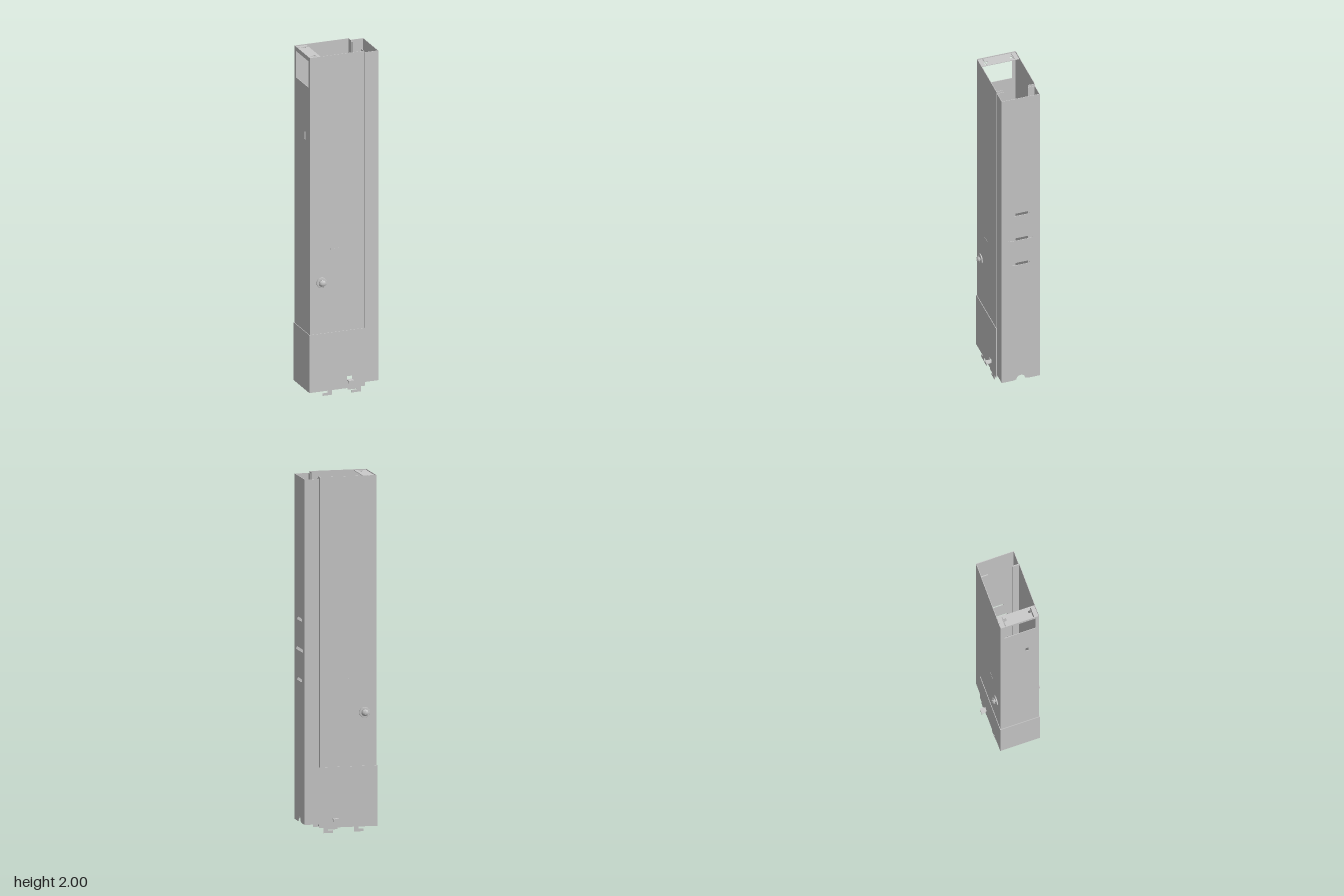
import * as THREE from 'three';

const mat = new THREE.MeshStandardMaterial({ color: 0xcccccc, side: THREE.DoubleSide });
const T = 0.003; // sheet thickness

function add(parent, name, geometry) {
  const m = new THREE.Mesh(geometry, mat);
  m.name = name;
  parent.add(m);
  return m;
}

function rectPath(Kind, a0, a1, b0, b1) {
  const p = new Kind();
  p.moveTo(a0, b0); p.lineTo(a1, b0); p.lineTo(a1, b1); p.lineTo(a0, b1); p.closePath();
  return p;
}
const rect = (...r) => rectPath(THREE.Shape, ...r);
const hole = (...r) => rectPath(THREE.Path, ...r);

// Rounded-end slot, long in the first axis
function slot(c, d, len, h) {
  const p = new THREE.Path(), r = h / 2, k = len / 2 - r;
  p.absarc(c + k, d, r, -Math.PI / 2, Math.PI / 2, false);
  p.absarc(c - k, d, r, Math.PI / 2, Math.PI * 1.5, false);
  p.closePath();
  return p;
}

const extrude = (shape, depth = T) =>
  new THREE.ExtrudeGeometry(shape, { depth, bevelEnabled: false, curveSegments: 10 });

// Sheet facing z, drawn in x/y, starting at z
const sheetZ = (shape, z) => extrude(shape).translate(0, 0, z);
// Sheet facing x, drawn in z/y, starting at x
const sheetX = (shape, x) => extrude(shape).rotateY(-Math.PI / 2).translate(x + T, 0, 0);

function box(x0, x1, y0, y1, z0, z1) {
  return new THREE.BoxGeometry(x1 - x0, y1 - y0, z1 - z0)
    .translate((x0 + x1) / 2, (y0 + y1) / 2, (z0 + z1) / 2);
}

// Screw along +z with washer, slotted dome head and threaded shank
function makeScrew() {
  const g = new THREE.Group();
  g.name = 'screw';
  const washer = [[0.008, 0], [0.029, 0], [0.03, 0.002], [0.03, 0.007], [0.028, 0.009], [0.008, 0.009]];
  const lathe = (pts) => new THREE.LatheGeometry(pts.map(p => new THREE.Vector2(...p)), 28).rotateX(Math.PI / 2);
  add(g, 'washer', lathe(washer)).position.z = 0.112;
  add(g, 'neck', new THREE.CylinderGeometry(0.01, 0.01, 0.008, 20).rotateX(Math.PI / 2)).position.z = 0.123;
  // Head made of four quarters with a cross recess between them
  const prof = [[0.003, 0], [0.02, 0], [0.0185, 0.005], [0.014, 0.01], [0.008, 0.0125], [0.003, 0.013]];
  for (let i = 0; i < 4; i++) {
    const q = new THREE.LatheGeometry(prof.map(p => new THREE.Vector2(...p)), 8, i * Math.PI / 2 + 0.12, Math.PI / 2 - 0.24);
    add(g, 'headQuarter', q.rotateX(Math.PI / 2)).position.z = 0.127;
  }
  add(g, 'headCore', new THREE.CylinderGeometry(0.012, 0.019, 0.005, 24).rotateX(Math.PI / 2)).position.z = 0.1295;
  const thread = [];
  for (let i = 0; i <= 24; i++) thread.push([i % 2 ? 0.01 : 0.0075, 0.06 + i * 0.0022]);
  add(g, 'thread', lathe([[0, 0.06], ...thread]));
  g.position.set(-0.136, 0.67, 0);
  return g;
}

export function createModel() {
  const model = new THREE.Group();
  model.name = 'post';
  const body = new THREE.Group(); body.name = 'body';
  const cover = new THREE.Group(); cover.name = 'cover';
  const sleeve = new THREE.Group(); sleeve.name = 'baseSleeve';
  model.add(body, cover, sleeve);

  // Back web of the body with a window near the top and a small slot
  const web = rect(-0.113, 0.113, 0.035, 2);
  web.holes.push(hole(-0.092, 0.092, 1.82, 1.975), hole(0.032, 0.05, 1.5, 1.545));
  add(body, 'backWeb', sheetX(web, -0.205));

  // Top cap with slots and round holes
  const cap = rect(-0.203, -0.135, -0.11, 0.11);
  for (const s of [-1, 1]) {
    cap.holes.push(hole(-0.2, -0.142, s * 0.083 - 0.003, s * 0.083 + 0.003));
    const c = new THREE.Path();
    c.absarc(-0.163, s * 0.071, 0.008, 0, Math.PI * 2, false);
    cap.holes.push(c);
  }
  add(body, 'topCap', extrude(cap).rotateX(Math.PI / 2).translate(0, 1.995, 0));

  // Thin inner fin
  add(body, 'innerFin', box(-0.202, 0.003, 0.8, 1.25, -0.001, 0.001));

  // Cover face with three slots and an arched notch at the foot
  const face = new THREE.Shape();
  face.moveTo(-0.111, 0.05);
  face.lineTo(-0.04, 0.05);
  face.lineTo(-0.028, 0.055);
  face.absarc(0, 0.055, 0.025, Math.PI, 0, true);
  face.lineTo(0.04, 0.05);
  face.lineTo(0.111, 0.05);
  face.lineTo(0.111, 1.99);
  face.lineTo(-0.111, 1.99);
  face.closePath();
  for (const [y, len] of [[1.19, 0.1], [1.02, 0.145], [0.85, 0.1]]) face.holes.push(slot(0, y, len, 0.018));
  add(cover, 'coverFace', sheetX(face, 0.203));

  // Sleeve back wall
  add(sleeve, 'sleeveBack', sheetX(rect(-0.117, 0.117, 0.03, 0.37), -0.209));

  // Everything mirrored about the middle plane
  for (const s of [-1, 1]) {
    const at = (z) => (s > 0 ? z - T : -z);
    const zr = (a, b) => (s > 0 ? [a, b] : [-b, -a]);

    const side = rect(-0.205, 0.12, 0.035, 2);
    side.holes.push(hole(0.012, 0.048, 0.08, 0.102));
    add(body, 'bodySide', sheetZ(side, at(0.114)));
    add(body, 'bodyFlange', box(0.117, 0.12, 0.035, 2, ...zr(0.073, 0.113)));
    add(body, 'sideRib', box(-0.08, -0.03, 0.858, 0.862, ...zr(0.109, 0.115)));

    add(cover, 'coverSide', sheetZ(rect(0.125, 0.205, 0.05, 1.99), at(0.112)));
    add(cover, 'coverFlange', box(0.123, 0.126, 0.05, 1.99, ...zr(0.071, 0.111)));

    // Sleeve side with hole, and hooked feet along its lower edge
    const wall = new THREE.Shape([
      [-0.209, 0.03], [-0.1, 0.03], [-0.1, 0.018], [-0.13, 0.018], [-0.13, 0.003], [-0.075, 0.003], [-0.075, 0.03],
      [0.02, 0.03], [0.02, 0.02], [0.075, 0.02], [0.075, 0.015], [0.045, 0.015], [0.045, 0], [0.1, 0], [0.1, 0.03],
      [0.125, 0.03], [0.125, 0.37], [-0.209, 0.37],
    ].map(p => new THREE.Vector2(...p)));
    wall.holes.push(hole(0.015, 0.046, 0.08, 0.1));
    add(sleeve, 'sleeveSide', sheetZ(wall, at(0.117)));
    add(sleeve, 'tabNeck', box(0.02, 0.044, 0.077, 0.081, ...zr(0.113, 0.123)));
    add(sleeve, 'tab', box(0.015, 0.048, 0.077, 0.081, ...zr(0.122, 0.146)));
    add(sleeve, 'tabLip', box(0.015, 0.048, 0.066, 0.081, ...zr(0.143, 0.146)));

    const screw = makeScrew();
    if (s < 0) {
      // Turn the screw to face the back, keeping its x position
      screw.rotation.y = Math.PI;
    }
    model.add(screw);
  }
  return model;
}
